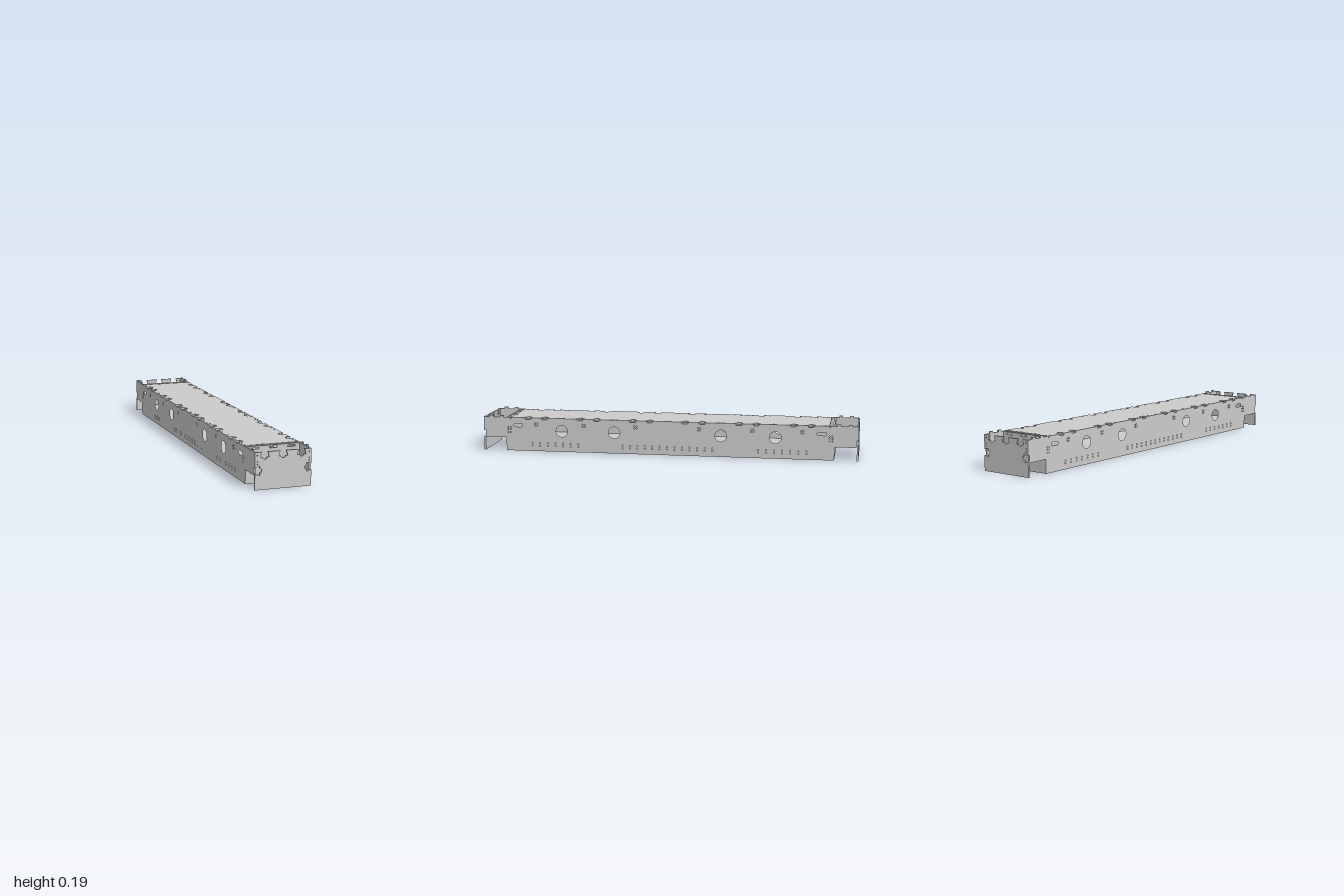
import * as THREE from 'three';

const T = 0.009;   // sheet thickness
const W = 0.142;   // half width
const material = new THREE.MeshStandardMaterial({ color: 0xcccccc, flatShading: true });

const shapeOf = pts => new THREE.Shape(pts.map(p => new THREE.Vector2(p[0], p[1])));

// Round hole
function hole(shape, x, y, r, n = 6) {
  const pts = [];
  for (let i = 0; i < n; i++) {
    const a = -i / n * Math.PI * 2;
    pts.push(new THREE.Vector2(x + r * Math.cos(a), y + r * Math.sin(a)));
  }
  shape.holes.push(new THREE.Path(pts));
}

// Slot with rounded ends
function slot(shape, x, y, w, h) {
  const pts = [], r = h / 2, d = w / 2 - r;
  for (let i = 0; i < 16; i++) {
    const a = -(i + 0.5) / 16 * Math.PI * 2;
    pts.push(new THREE.Vector2(x + r * Math.cos(a) + Math.sign(Math.cos(a)) * d, y + r * Math.sin(a)));
  }
  shape.holes.push(new THREE.Path(pts));
}

// Dovetail notch with a round relief, cut inwards from an edge.
// (x, y) is on the edge, (dx, dy) the direction of travel; inward is to its left.
function dovetail(x, y, dx, dy, depth = 0.025) {
  const pts = [];
  const add = (along, inward) => pts.push([x + dx * along - dy * inward, y + dy * along + dx * inward]);
  add(-0.015, 0);
  add(-0.022, depth);
  for (let i = 0; i <= 6; i++) {
    const a = Math.PI * (1 - i / 6);
    add(0.011 * Math.cos(a), depth + 0.010 * Math.sin(a));
  }
  add(0.022, depth);
  add(0.015, 0);
  return pts;
}

function plate(name, shape) {
  const geo = new THREE.ExtrudeGeometry(shape, { depth: T, bevelEnabled: false });
  const mesh = new THREE.Mesh(geo, material);
  mesh.name = name;
  return mesh;
}

// Long side panel, drawn in z and y
function sideShape() {
  const half = [
    [0.853, 0.171], [0.853, 0.18], [0.89, 0.18], [0.89, 0.189], [0.91, 0.189], [0.91, 0.18],
    [0.947, 0.18], [0.947, 0.189], [0.967, 0.189], [0.967, 0.18], [0.991, 0.18],
    [0.991, 0.07], [0.876, 0.07], [0.876, 0],
  ];
  const mirrored = half.map(([z, y]) => [-z, y]).reverse();
  const s = shapeOf([...half, ...mirrored]);
  for (const m of [-1, 1]) {
    for (const z of [0.285, 0.57]) hole(s, m * z, 0.112, 0.031, 32);
    slot(s, m * 0.81, 0.138, 0.05, 0.018);
    for (const z of [0.17, 0.45, 0.71])
      for (const k of [-1, 1]) for (const y of [0.138, 0.15]) hole(s, m * z + k * 0.006, y, 0.0035);
    for (const z of [0.85, 0.865])
      for (const y of [0.1, 0.115, 0.127]) hole(s, m * z, y, 0.0035);
    for (let i = 0; i < 7; i++)
      for (const y of [0.03, 0.044]) hole(s, m * (0.48 + i * 0.042), y, 0.0035);
  }
  for (let i = -6; i <= 6; i++)
    for (const y of [0.03, 0.044]) hole(s, i * 0.04, y, 0.0035);
  return s;
}

// Top deck, drawn in x and z
function deckShape() {
  const L = 0.85;
  const zs = [0.095, 0.185, 0.38, 0.47, 0.665, 0.755];
  const all = [...zs.map(z => -z).reverse(), ...zs];
  const right = all.flatMap(z => dovetail(W, z, 0, 1, 0.022));
  const left = [...all].reverse().flatMap(z => dovetail(-W, z, 0, -1, 0.022));
  const s = shapeOf([[-W, -L], [W, -L], ...right, [W, L], [-W, L], ...left]);
  for (const m of [-1, 1]) {
    for (const z of [0.02, 0.05, 0.14, 0.235, 0.27, 0.3, 0.33, 0.425, 0.52, 0.56, 0.6, 0.71, 0.8, 0.83])
      for (const k of [-1, 1]) hole(s, m * 0.13, k * z, 0.0035);
    for (const k of [-1, 1]) hole(s, m * 0.045, k * 0.84, 0.0035);
  }
  return s;
}

// End panel with dovetails on its top and side edges
function endShape() {
  const s = shapeOf([
    [-W, 0], [W, 0], ...dovetail(W, 0.092, 0, 1), [W, 0.18],
    ...[0.092, 0, -0.092].flatMap(x => dovetail(x, 0.18, -1, 0)),
    [-W, 0.18], ...dovetail(-W, 0.092, 0, -1),
  ]);
  for (const m of [-1, 1])
    for (const y of [0.123, 0.136, 0.165]) hole(s, m * 0.13, y, 0.003);
  return s;
}

// Inner bulkhead with narrow slots near its top edge
function bulkheadShape() {
  const X = W - T, s = shapeOf([[-X, 0], [X, 0], [X, 0.18], [-X, 0.18]]);
  for (const x of [-0.092, 0, 0.092]) slot(s, x, 0.169, 0.04, 0.008);
  return s;
}

export function createModel() {
  const group = new THREE.Group();
  group.name = 'openBottomTray';

  // Long sides
  for (const m of [-1, 1]) {
    const side = plate(m > 0 ? 'leftSide' : 'rightSide', sideShape());
    side.rotation.y = -Math.PI / 2;
    side.position.x = m > 0 ? W : -W + T;
    group.add(side);
  }

  // Deck on top of the sides
  const deck = plate('topDeck', deckShape());
  deck.rotation.x = Math.PI / 2;
  deck.position.y = 0.18;
  group.add(deck);

  // Recessed lower floor
  const floor = new THREE.Mesh(new THREE.BoxGeometry(2 * (W - T), T, 1.7), material);
  floor.name = 'lowerFloor';
  floor.position.y = 0.052;
  group.add(floor);

  // End panels and inner bulkheads
  for (const m of [-1, 1]) {
    const where = m > 0 ? 'front' : 'back';
    const end = plate(where + 'EndPanel', endShape());
    end.position.z = m > 0 ? 1 - T : -1;
    const bulkhead = plate(where + 'Bulkhead', bulkheadShape());
    bulkhead.position.z = m > 0 ? 0.866 : -0.866 - T;
    group.add(end, bulkhead);
  }
  return group;
}
